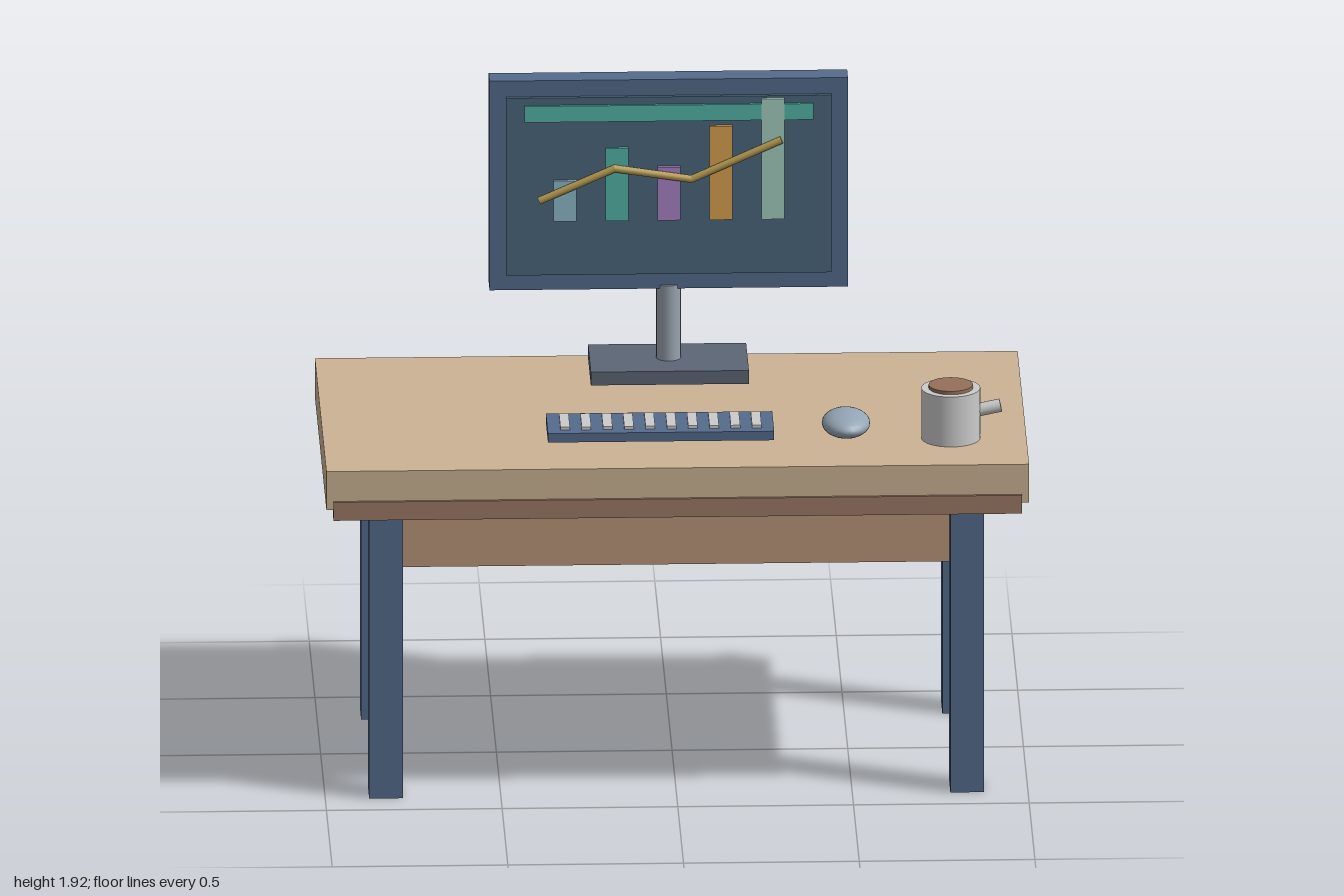
import * as THREE from 'three';

const mat = (color) => new THREE.MeshStandardMaterial({ color });
const WOOD = mat(0xcbb393), APRON = mat(0xb8967a), LIP = mat(0x9c7b65), BLUE = mat(0x546c8c);
const SLATE = mat(0x5c6675), METAL = mat(0x9aa5b0), SCREEN = mat(0x4a667c), TEAL = mat(0x52b5a8);
const GOLD = mat(0xb59a50), WHITE = mat(0xd8d8d6), COFFEE = mat(0x96705a), MOUSE = mat(0x94a5b4);

function add(parent, name, geometry, material) {
  const mesh = new THREE.Mesh(geometry, material);
  mesh.name = name;
  parent.add(mesh);
  return mesh;
}

// Box given by its extents along each axis
function box(parent, name, material, [x0, x1], [y0, y1], [z0, z1]) {
  const mesh = add(parent, name, new THREE.BoxGeometry(x1 - x0, y1 - y0, z1 - z0), material);
  mesh.position.set((x0 + x1) / 2, (y0 + y1) / 2, (z0 + z1) / 2);
  return mesh;
}

// Cylinder between two points
function rod(parent, name, material, a, b, radius, sides = 24) {
  const dir = b.clone().sub(a);
  const mesh = add(parent, name, new THREE.CylinderGeometry(radius, radius, dir.length(), sides), material);
  mesh.position.copy(a).add(b).multiplyScalar(0.5);
  mesh.quaternion.setFromUnitVectors(new THREE.Vector3(0, 1, 0), dir.normalize());
  return mesh;
}

const group = (parent, name) => {
  const g = new THREE.Group();
  g.name = name;
  parent.add(g);
  return g;
};
const v = (x, y, z) => new THREE.Vector3(x, y, z);

function buildDesk(root) {
  const desk = group(root, 'desk');
  box(desk, 'tabletop', WOOD, [-1, 1], [0.902, 1.017], [-0.506, 0.498]);
  box(desk, 'frontLip', LIP, [-0.98, 0.98], [0.872, 0.927], [0.482, 0.507]);
  box(desk, 'apron', APRON, [-0.825, 0.825], [0.676, 0.88], [-0.402, 0.345]);
  for (const x of [-0.827, 0.827])
    for (const z of [-0.35, 0.35])
      box(desk, 'leg', BLUE, [x - 0.048, x + 0.048], [0, 0.842], [z - 0.049, z + 0.049]);
}

function buildMonitor(root) {
  const monitor = group(root, 'monitor');
  box(monitor, 'standBase', SLATE, [-0.225, 0.225], [1.035, 1.075], [-0.432, -0.187]);
  rod(monitor, 'standPole', METAL, v(0, 1.07, -0.312), v(0, 1.3, -0.312), 0.035);
  box(monitor, 'monitorBody', BLUE, [-0.51, 0.51], [1.29, 1.918], [-0.358, -0.287]);
  box(monitor, 'screen', SCREEN, [-0.463, 0.463], [1.338, 1.87], [-0.287, -0.274]);

  // Dashboard on the screen: header, bar chart and trend line
  const chart = group(monitor, 'chart');
  box(chart, 'headerBar', TEAL, [-0.411, 0.411], [1.8, 1.848], [-0.274, -0.265]);
  const bars = [[1.624, 0x8fb9cc], [1.72, 0x52b5a8], [1.662, 0xa783c6], [1.783, 0xd9a24f], [1.864, 0xa5cfc0]];
  bars.forEach(([top, color], i) => {
    const x = (i - 2) * 0.148;
    box(chart, 'chartBar', mat(color), [x - 0.033, x + 0.033], [1.503, top], [-0.274, -0.262]);
  });
  const points = [[-0.37, 1.567], [-0.155, 1.662], [0.064, 1.628], [0.32, 1.743]].map(([x, y]) => v(x, y, -0.257));
  points.forEach((p, i) => {
    if (i > 0) rod(chart, 'trendLine', GOLD, points[i - 1], p, 0.011, 12);
    if (i > 0 && i < 3) add(chart, 'trendJoint', new THREE.SphereGeometry(0.011, 12, 8), GOLD).position.copy(p);
  });
}

function buildKeyboard(root) {
  const keyboard = group(root, 'keyboard');
  box(keyboard, 'keyboardBody', BLUE, [-0.363, 0.281], [1.03, 1.057], [0.123, 0.3]);
  for (let i = 0; i < 10; i++) {
    const x = -0.313 + i * 0.0606;
    box(keyboard, 'key', WHITE, [x - 0.0135, x + 0.0135], [1.05, 1.066], [0.15, 0.27]);
  }
}

function buildMug(root) {
  const mug = group(root, 'mug');
  rod(mug, 'mugBody', WHITE, v(0.785, 1.017, 0.255), v(0.785, 1.167, 0.255), 0.084, 32);
  rod(mug, 'coffee', COFFEE, v(0.785, 1.155, 0.255), v(0.785, 1.177, 0.255), 0.063, 32);
  rod(mug, 'mugHandle', WHITE, v(0.82, 1.091, 0.255), v(0.927, 1.113, 0.255), 0.019, 16);
}

export function createModel() {
  const root = new THREE.Group();
  root.name = 'workstation';
  buildDesk(root);
  buildMonitor(root);
  buildKeyboard(root);
  buildMug(root);

  // Egg-shaped mouse resting on the desk
  const mouse = add(root, 'mouse', new THREE.SphereGeometry(1, 24, 16), MOUSE);
  mouse.scale.set(0.069, 0.035, 0.1);
  mouse.position.set(0.488, 1.051, 0.212);
  return root;
}
